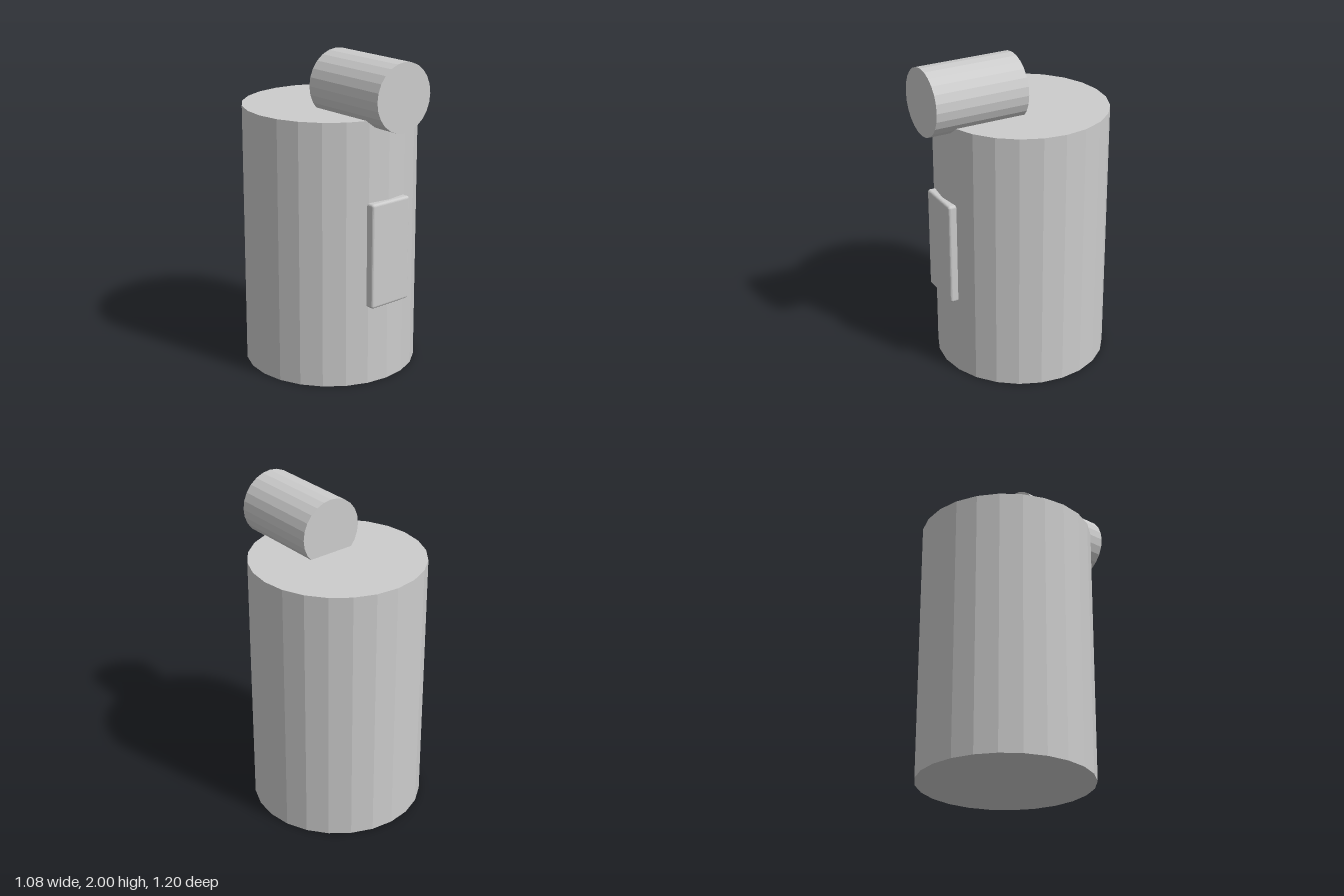
import * as THREE from 'three';
import { RoundedBoxGeometry } from 'three/addons/geometries/RoundedBoxGeometry.js';

export function createModel() {
  const group = new THREE.Group();
  const grey = new THREE.MeshStandardMaterial({ color: 0xcccccc, flatShading: true });
  grey.name = 'light grey';

  const add = (name, geometry, x, y, z) => {
    const mesh = new THREE.Mesh(geometry, grey);
    mesh.name = name;
    mesh.position.set(x, y, z);
    group.add(mesh);
    return mesh;
  };

  // Upright faceted drum
  const bodyHeight = 1.655;
  add('body', new THREE.CylinderGeometry(0.54, 0.54, bodyHeight, 24), 0, bodyHeight / 2, -0.06);

  // Horizontal barrel sunk into the drum's top and overhanging the front
  const barrel = new THREE.CylinderGeometry(0.208, 0.208, 0.6, 24).rotateX(Math.PI / 2);
  add('topBarrel', barrel, 0, 1.792, 0.3);

  // Rounded panel set into the front of the drum
  add('frontPanel', new RoundedBoxGeometry(0.296, 0.656, 0.11, 3, 0.016), -0.002, 0.83, 0.455);

  return group;
}
